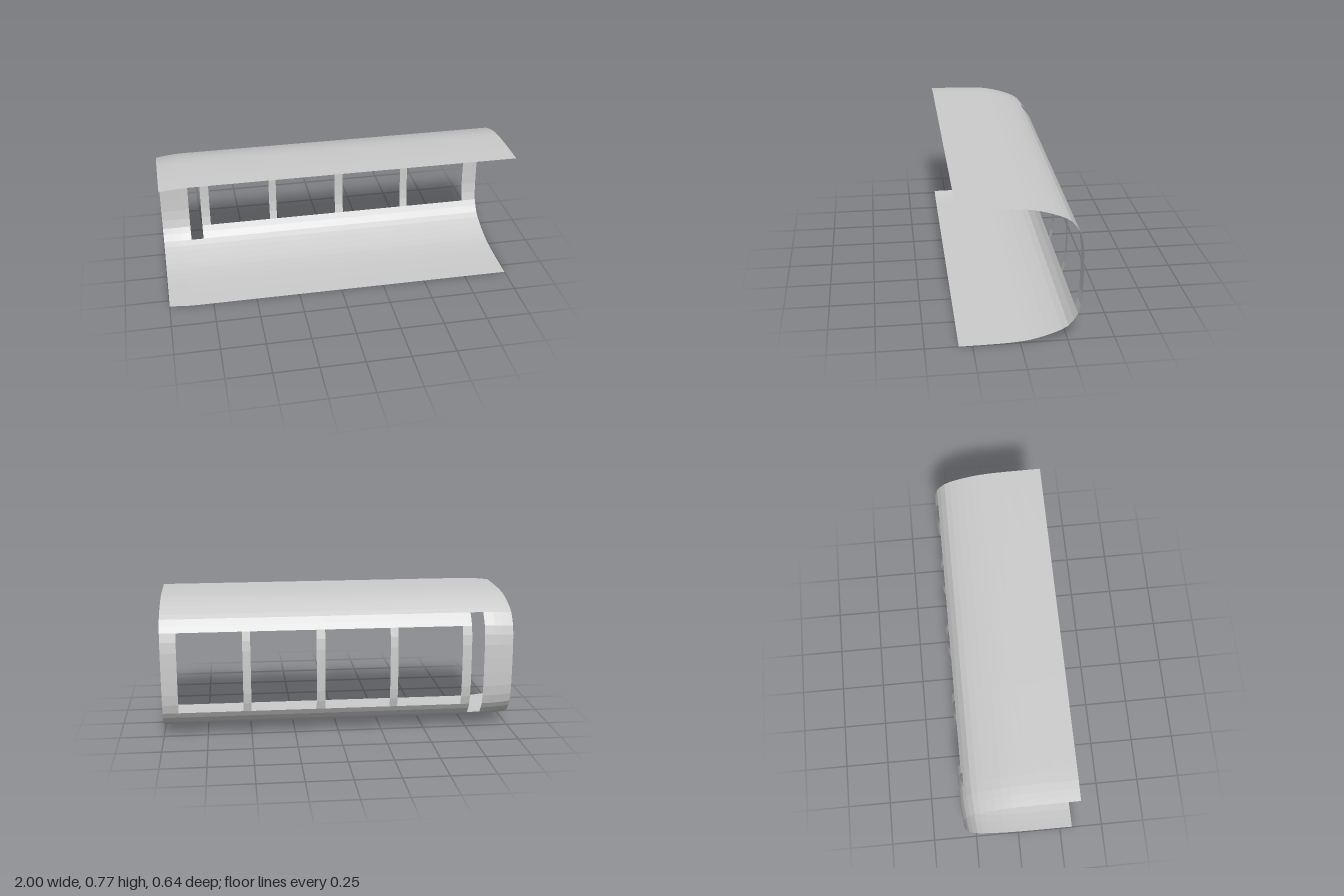
import * as THREE from 'three';

const MID = 0.3865; // height of the mirror line of the section

// Upper half of the C-shaped section: [z, height above MID], front edge to back
const HALF = [
  [0.322, 0.3855], [0.2, 0.385], [0.1, 0.3835], [0.05, 0.3815], [0, 0.378], [-0.045, 0.3725],
  [-0.09, 0.3635], [-0.14, 0.3495], [-0.185, 0.334], [-0.22, 0.319], [-0.252, 0.2995],
  [-0.28, 0.265], [-0.3, 0.2325], [-0.313, 0.182], [-0.32, 0.122], [-0.322, 0.045],
];
const SECTION = [...HALF, ...HALF.map(([z, h]) => [z, -h]).reverse()];
const SLOT_ROW = 10;   // section point at the top of the narrow slot
const WINDOW_ROW = 12; // section point at the top of the windows
const LAST = SECTION.length - 1;

// Openings along x
const SLOT = [-0.832, -0.758];
const WINDOWS = [[-0.705, -0.335], [-0.29, 0.08], [0.13, 0.5], [0.545, 0.91]];
const STATIONS = [-1, -0.97, -0.935, -0.89, ...SLOT, ...WINDOWS.flat(), 1];

// The end at -x draws in slightly
function point(x, [z, h]) {
  const t = Math.max(0, (-0.86 - x) / 0.14);
  const inset = 0.012 * Math.pow(t, 1.5);
  return [x, MID + h * (1 - inset / 0.3855), z + inset * (0.322 - z) / 0.644];
}

function isOpen(x, row) {
  const inside = ([a, b]) => x > a && x < b;
  if (row >= SLOT_ROW && row < LAST - SLOT_ROW && inside(SLOT)) return true;
  return row >= WINDOW_ROW && row < LAST - WINDOW_ROW && WINDOWS.some(inside);
}

// Sheet between two section rows, leaving out the openings
function panel(name, from, to, material) {
  const positions = [];
  for (let i = 0; i < STATIONS.length - 1; i++) {
    const x0 = STATIONS[i], x1 = STATIONS[i + 1];
    for (let j = from; j < to; j++) {
      if (isOpen((x0 + x1) / 2, j)) continue;
      const a = point(x0, SECTION[j]), b = point(x1, SECTION[j]);
      const c = point(x1, SECTION[j + 1]), d = point(x0, SECTION[j + 1]);
      positions.push(...a, ...b, ...c, ...a, ...c, ...d);
    }
  }
  const geometry = new THREE.BufferGeometry();
  geometry.setAttribute('position', new THREE.Float32BufferAttribute(positions, 3));
  geometry.computeVertexNormals();
  const mesh = new THREE.Mesh(geometry, material);
  mesh.name = name;
  return mesh;
}

export function createModel() {
  const group = new THREE.Group();
  group.name = 'curvedShell';
  const grey = new THREE.MeshStandardMaterial({ color: 0xcccccc, side: THREE.DoubleSide, flatShading: true });
  grey.name = 'light grey';
  group.add(
    panel('roof', 0, SLOT_ROW, grey),
    panel('windowWall', SLOT_ROW, LAST - SLOT_ROW, grey),
    panel('floor', LAST - SLOT_ROW, LAST, grey),
  );
  return group;
}
